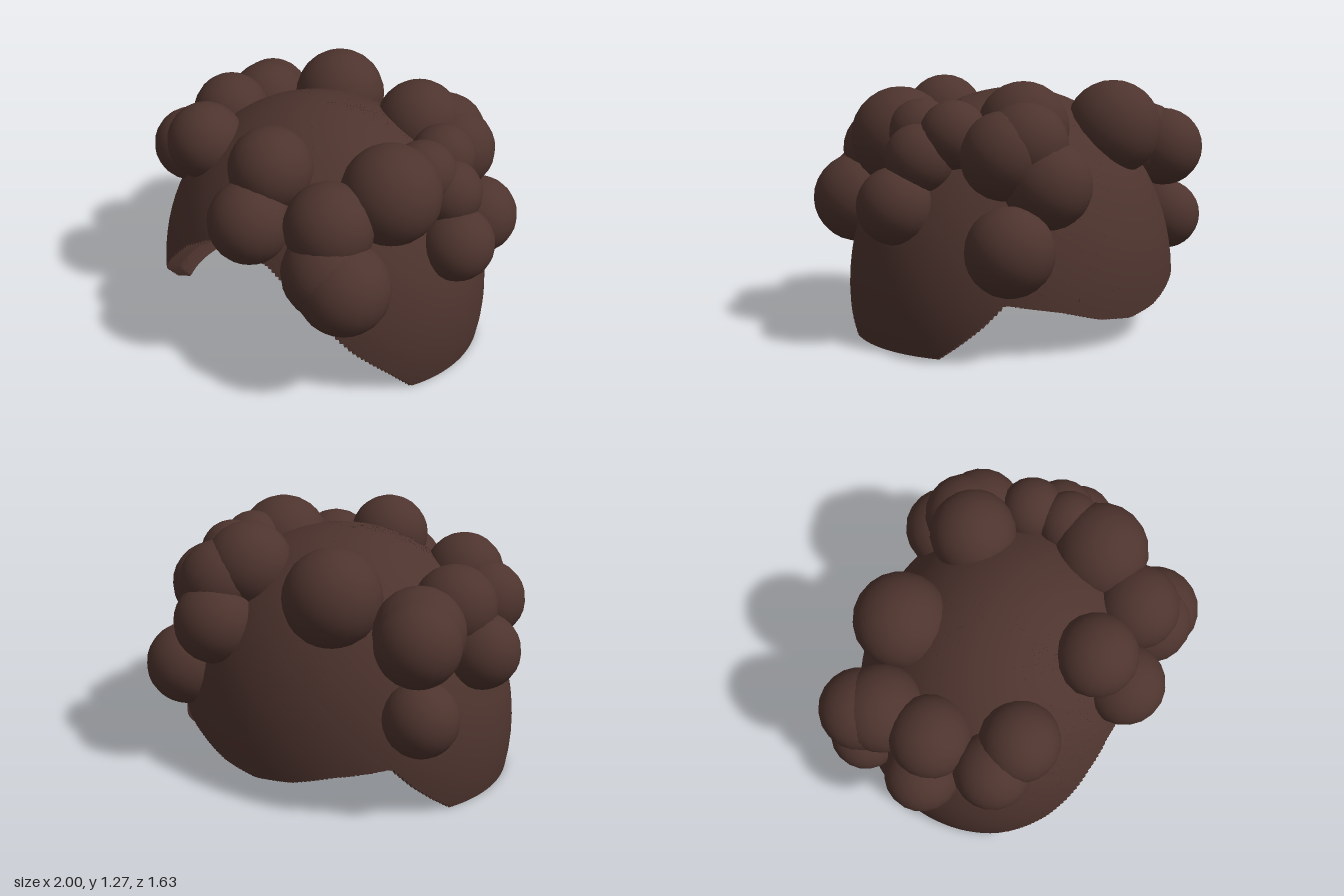
import * as THREE from 'three';

// Cap ellipsoid: centre, radii and inner-wall scale
const CENTRE = [0, 0.22, -0.028];
const RADII = [0.895, 0.99, 0.782];
const INNER = 0.915;

// Hem height by azimuth in degrees (0 = front, 180 = back), mirrored left and right
const HEM = [
  [0, 0.685], [8, 0.68], [14, 0.66], [24.6, 0.56], [34.6, 0.41], [44, 0.27], [57, 0.12], [66, 0],
  [112, 0], [120, 0.08], [127, 0.16], [134.7, 0.27], [153, 0.22], [167, 0.16], [180, 0.135],
];

function hemHeight(azimuth) {
  let d = THREE.MathUtils.radToDeg(azimuth);
  if (d > 180) d = 360 - d;
  for (let i = 1; i < HEM.length; i++) {
    const [d0, y0] = HEM[i - 1], [d1, y1] = HEM[i];
    if (d <= d1) return y0 + (y1 - y0) * (d - d0) / (d1 - d0);
  }
  return HEM[HEM.length - 1][1];
}

// Columns come in pairs of equal height, so the hem is finely stepped;
// the inner wall ends slightly nearer the centre height than the outer one
function hemColumns(count, scale) {
  const columns = [];
  for (let i = 0; i < count; i++) {
    const a0 = i / count * Math.PI * 2, a1 = (i + 1) / count * Math.PI * 2;
    const rise = (hemHeight((a0 + a1) / 2) - CENTRE[1]) * (1 + scale) / 2;
    const theta = Math.acos(rise / (RADII[1] * scale));
    columns.push([a0, theta], [a1, theta]);
  }
  columns.push(columns[0]);
  return columns;
}

const direction = (a, t) => [Math.sin(t) * Math.sin(a), Math.cos(t), Math.sin(t) * Math.cos(a)];
const onCap = (dir, scale) => dir.map((v, k) => CENTRE[k] + v * RADII[k] * scale);

// One wall of the cap, from the crown down to the hem
function wallGeometry(columns, scale, inward) {
  const rows = 20, position = [], normal = [], index = [];
  const sign = inward ? -1 : 1;
  columns.forEach(([a, theta], c) => {
    for (let r = 0; r <= rows; r++) {
      const dir = direction(a, theta * r / rows);
      position.push(...onCap(dir, scale));
      const n = new THREE.Vector3(...dir.map((v, k) => sign * v / RADII[k])).normalize();
      normal.push(n.x, n.y, n.z);
      if (c === columns.length - 1 || r === rows) continue;
      const p = c * (rows + 1) + r, q = p + rows + 1;
      if (inward) index.push(p, q + 1, p + 1, p, q, q + 1);
      else index.push(p, p + 1, q + 1, p, q + 1, q);
    }
  });
  const g = new THREE.BufferGeometry();
  g.setAttribute('position', new THREE.Float32BufferAttribute(position, 3));
  g.setAttribute('normal', new THREE.Float32BufferAttribute(normal, 3));
  g.setIndex(index);
  return g;
}

// Stepped band joining the two walls along the hem
function hemGeometry(outer, inner) {
  const position = [];
  const a = outer.map((c) => onCap(direction(...c), 1));
  const b = inner.map((c) => onCap(direction(...c), INNER));
  for (let i = 0; i < a.length - 1; i++) {
    position.push(...a[i], ...b[i], ...a[i + 1], ...a[i + 1], ...b[i], ...b[i + 1]);
  }
  const g = new THREE.BufferGeometry();
  g.setAttribute('position', new THREE.Float32BufferAttribute(position, 3));
  g.computeVertexNormals();
  return g;
}

// Curls: x, y, z, radius
const FRONT_CURLS = [
  [0.045, 1.05, 0.44, 0.208], [0.05, 0.838, 0.608, 0.207], [0.43, 0.89, 0.485, 0.217],
  [0.475, 0.69, 0.55, 0.225], [0.565, 0.64, 0.55, 0.228],
];
const LEFT_CURLS = [
  [0.575, 0.985, 0.195, 0.245], [0.62, 1.02, -0.01, 0.165], [0.71, 0.91, -0.095, 0.17],
  [0.813, 0.69, -0.035, 0.187], [0.6, 1.02, -0.21, 0.165],
];
const BACK_CURLS = [
  [0.33, 1.05, -0.405, 0.22], [0.43, 0.98, -0.51, 0.205], [0.515, 0.935, -0.46, 0.21],
  [0.385, 0.8, -0.61, 0.21], [0.612, 0.515, -0.585, 0.21], [-0.24, 1.015, -0.492, 0.24],
];
const RIGHT_CURLS = [
  [-0.7, 0.88, -0.47, 0.205], [-0.65, 0.895, -0.375, 0.22], [-0.67, 0.94, -0.085, 0.205],
  [-0.812, 0.74, -0.065, 0.188], [-0.495, 0.975, 0.31, 0.2], [-0.66, 0.88, 0.25, 0.193],
  [-0.725, 0.512, -0.47, 0.184],
];

export function createModel() {
  const model = new THREE.Group();
  model.name = 'curlyHair';
  const brown = new THREE.MeshStandardMaterial({ color: 0x4e342e });
  brown.name = 'darkBrown';

  const add = (parent, name, geometry) => {
    const mesh = new THREE.Mesh(geometry, brown);
    mesh.name = name;
    parent.add(mesh);
    return mesh;
  };

  // Hollow cap
  const outer = hemColumns(256, 1), inner = hemColumns(256, INNER);
  const cap = new THREE.Group();
  cap.name = 'cap';
  add(cap, 'capOuter', wallGeometry(outer, 1, false));
  add(cap, 'capInner', wallGeometry(inner, INNER, true));
  add(cap, 'capHem', hemGeometry(outer, inner));
  model.add(cap);

  // Curls around the crown
  const ball = new THREE.SphereGeometry(1, 20, 14);
  const groups = { frontCurls: FRONT_CURLS, leftCurls: LEFT_CURLS, backCurls: BACK_CURLS, rightCurls: RIGHT_CURLS };
  for (const [name, list] of Object.entries(groups)) {
    const group = new THREE.Group();
    group.name = name;
    for (const [x, y, z, r] of list) {
      const curl = add(group, 'curl', ball);
      curl.position.set(x, y, z);
      curl.scale.setScalar(r);
    }
    model.add(group);
  }
  return model;
}
